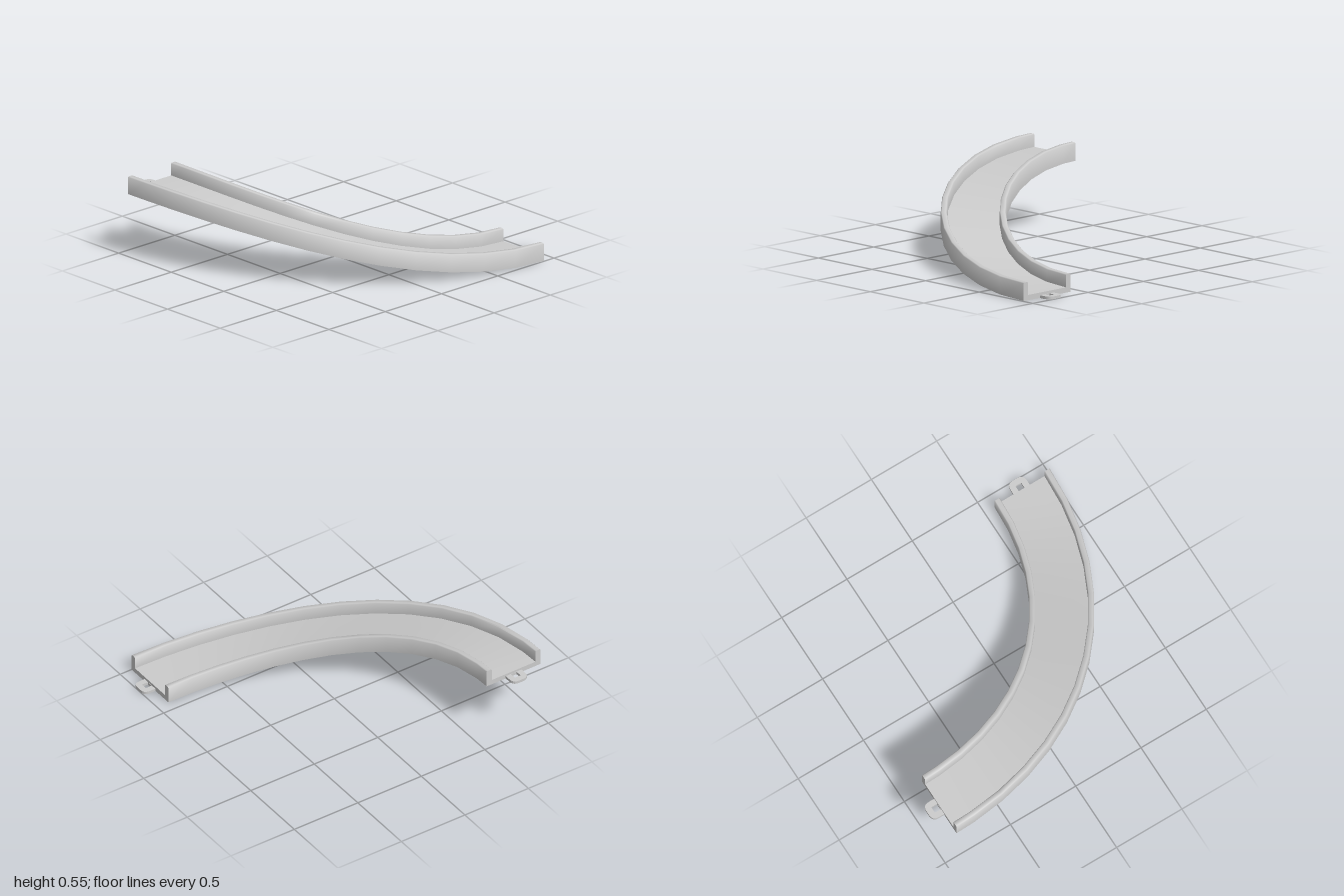
import * as THREE from 'three';
import { toCreasedNormals } from 'three/addons/utils/BufferGeometryUtils.js';

const CENTRE = -0.912;              // bend centre, same in x and z
const R0 = 1.487, R1 = 1.91;        // inner and outer radius
const WALL = 0.04, FLOOR = 0.035, HEIGHT = 0.122, BEVEL = 0.006;
const BASE = 0.004, RISE = 0.428;

// U-shaped channel section as [radius, height], counter-clockwise
function channelSection() {
  const rim = (a, b) => [[b, HEIGHT - BEVEL], [b - BEVEL, HEIGHT], [a + BEVEL, HEIGHT], [a, HEIGHT - BEVEL]];
  return [
    [R0, 0], [R1, 0],
    ...rim(R1 - WALL, R1),
    [R1 - WALL, FLOOR], [R0 + WALL, FLOOR],
    ...rim(R0, R0 + WALL),
  ].map(([r, y]) => new THREE.Vector2(r, y));
}

// Sweep the section round a quarter turn while it descends
function trackGeometry() {
  const section = channelSection(), n = section.length;
  const angles = [0];
  for (let k = 0; k <= 12; k++) angles.push(0.074 + (k / 12) * (Math.PI / 2 - 0.074));

  const positions = [], index = [];
  for (const a of angles) {
    const lift = BASE + RISE * Math.cos(a) ** 2;
    for (const p of section) {
      positions.push(CENTRE + p.x * Math.sin(a), lift + p.y, CENTRE + p.x * Math.cos(a));
    }
  }
  const last = (angles.length - 1) * n;
  for (let row = 0; row < last; row += n) {
    for (let j = 0; j < n; j++) {
      const a = row + j, b = row + (j + 1) % n;
      index.push(a, a + n, b + n, a, b + n, b);
    }
  }
  // End caps
  for (const [a, b, c] of THREE.ShapeUtils.triangulateShape(section, [])) {
    index.push(a, b, c, last + a, last + c, last + b);
  }
  const geo = new THREE.BufferGeometry();
  geo.setAttribute('position', new THREE.Float32BufferAttribute(positions, 3));
  geo.setIndex(index);
  return toCreasedNormals(geo, 0.9);
}

// Flat loop with a rectangular hole, pointing towards -z
function loopGeometry() {
  const w = 0.062, len = 0.088, r = 0.045;
  const s = new THREE.Shape();
  s.moveTo(-w, 0);
  s.lineTo(w, 0);
  s.lineTo(w, len - r);
  s.quadraticCurveTo(w, len, w - r, len);
  s.lineTo(r - w, len);
  s.quadraticCurveTo(-w, len, -w, len - r);
  s.closePath();
  const hole = new THREE.Path();
  hole.moveTo(-0.022, 0.002);
  hole.lineTo(-0.022, 0.047);
  hole.lineTo(0.022, 0.047);
  hole.lineTo(0.022, 0.002);
  hole.closePath();
  s.holes.push(hole);
  const geo = new THREE.ExtrudeGeometry(s, { depth: 0.019, bevelEnabled: false, curveSegments: 5 });
  geo.rotateX(-Math.PI / 2);
  return geo;
}

export function createModel() {
  const group = new THREE.Group();
  group.name = 'curvedTrack';
  const material = new THREE.MeshStandardMaterial({ color: 0xcccccc });

  const track = new THREE.Mesh(trackGeometry(), material);
  track.name = 'channel';
  group.add(track);

  // Connector loops at both ends
  const mid = CENTRE + (R0 + R1) / 2;
  const loop = loopGeometry();
  const low = new THREE.Mesh(loop, material);
  low.name = 'lowerConnector';
  low.position.set(mid, 0.002, CENTRE);
  const high = new THREE.Mesh(loop, material);
  high.name = 'upperConnector';
  high.rotation.y = Math.PI / 2;
  high.position.set(CENTRE, BASE + RISE, mid);
  group.add(low, high);

  return group;
}
